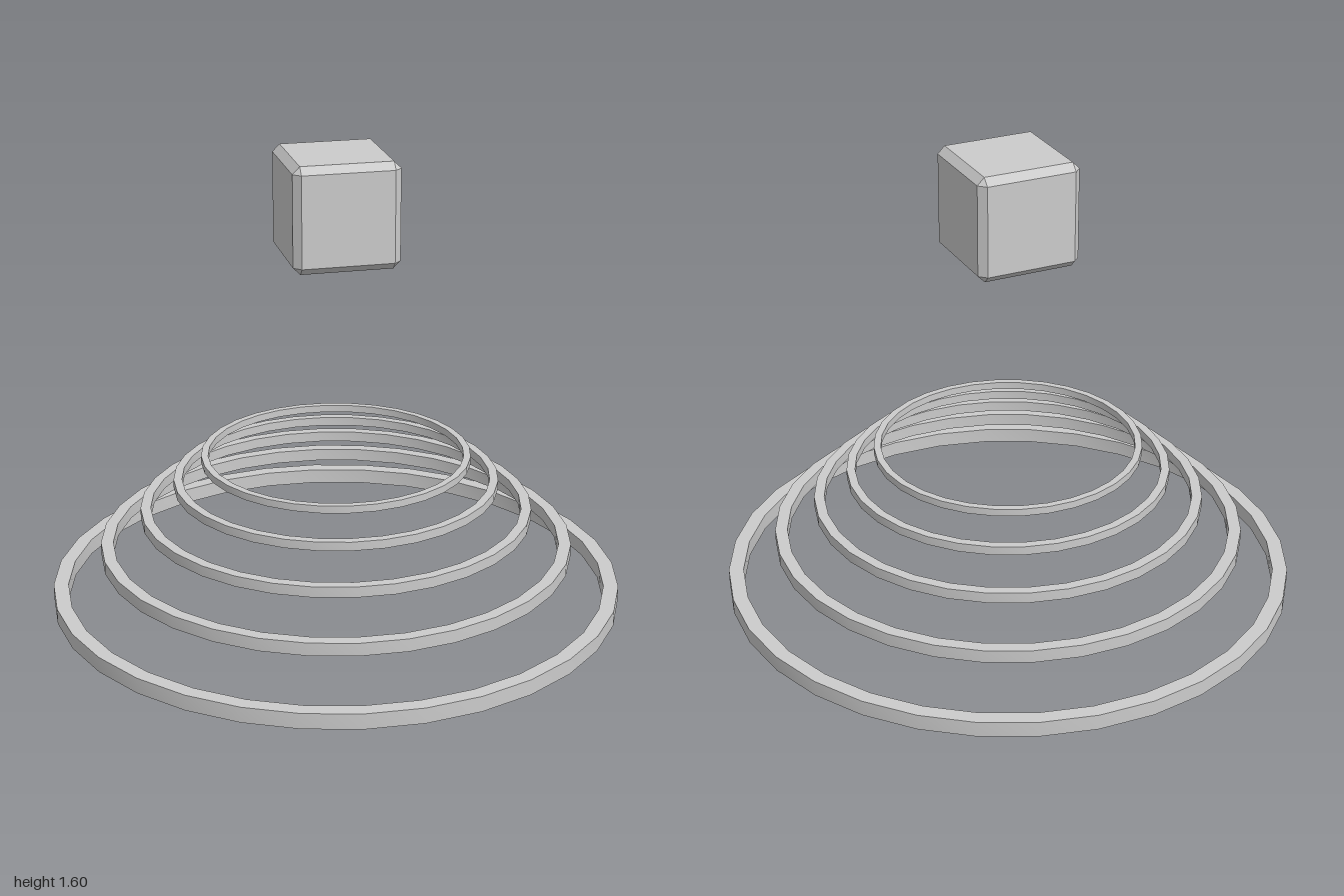
import * as THREE from 'three';
import { ConvexGeometry } from 'three/addons/geometries/ConvexGeometry.js';
import { toCreasedNormals } from 'three/addons/utils/BufferGeometryUtils.js';

const material = new THREE.MeshStandardMaterial({ color: 0xcccccc });

// Flat band with a rectangular section, standing on its own y = 0
function ringGeometry(outer, width, height) {
  const inner = outer - width;
  const profile = [[inner, 0], [outer, 0], [outer, height], [inner, height], [inner, 0]]
    .map(([r, y]) => new THREE.Vector2(r, y));
  return toCreasedNormals(new THREE.LatheGeometry(profile, 32), 0.6);
}

// Cube with every edge cut at 45 degrees
function chamferedCube(size, chamfer) {
  const h = size / 2, k = h - chamfer;
  const points = [];
  for (const x of [-1, 1]) for (const y of [-1, 1]) for (const z of [-1, 1]) {
    points.push(
      new THREE.Vector3(x * h, y * k, z * k),
      new THREE.Vector3(x * k, y * h, z * k),
      new THREE.Vector3(x * k, y * k, z * h));
  }
  return new ConvexGeometry(points);
}

export function createModel() {
  const model = new THREE.Group();
  model.name = 'cubeOverRings';

  // Stack of shrinking rings
  const rings = new THREE.Group();
  rings.name = 'rings';
  const levels = [0, 0.165, 0.3, 0.41, 0.5];
  levels.forEach((y, i) => {
    const s = Math.pow(0.828, i);
    const ring = new THREE.Mesh(ringGeometry(s, 0.052 * s, 0.055 * s), material);
    ring.name = `ring${i + 1}`;
    ring.position.y = y;
    rings.add(ring);
  });
  model.add(rings);

  // Floating cube, turned about the vertical axis
  const cube = new THREE.Mesh(chamferedCube(0.365, 0.025), material);
  cube.name = 'floatingCube';
  cube.position.y = 1.413;
  cube.rotation.y = -0.64;
  model.add(cube);

  return model;
}
